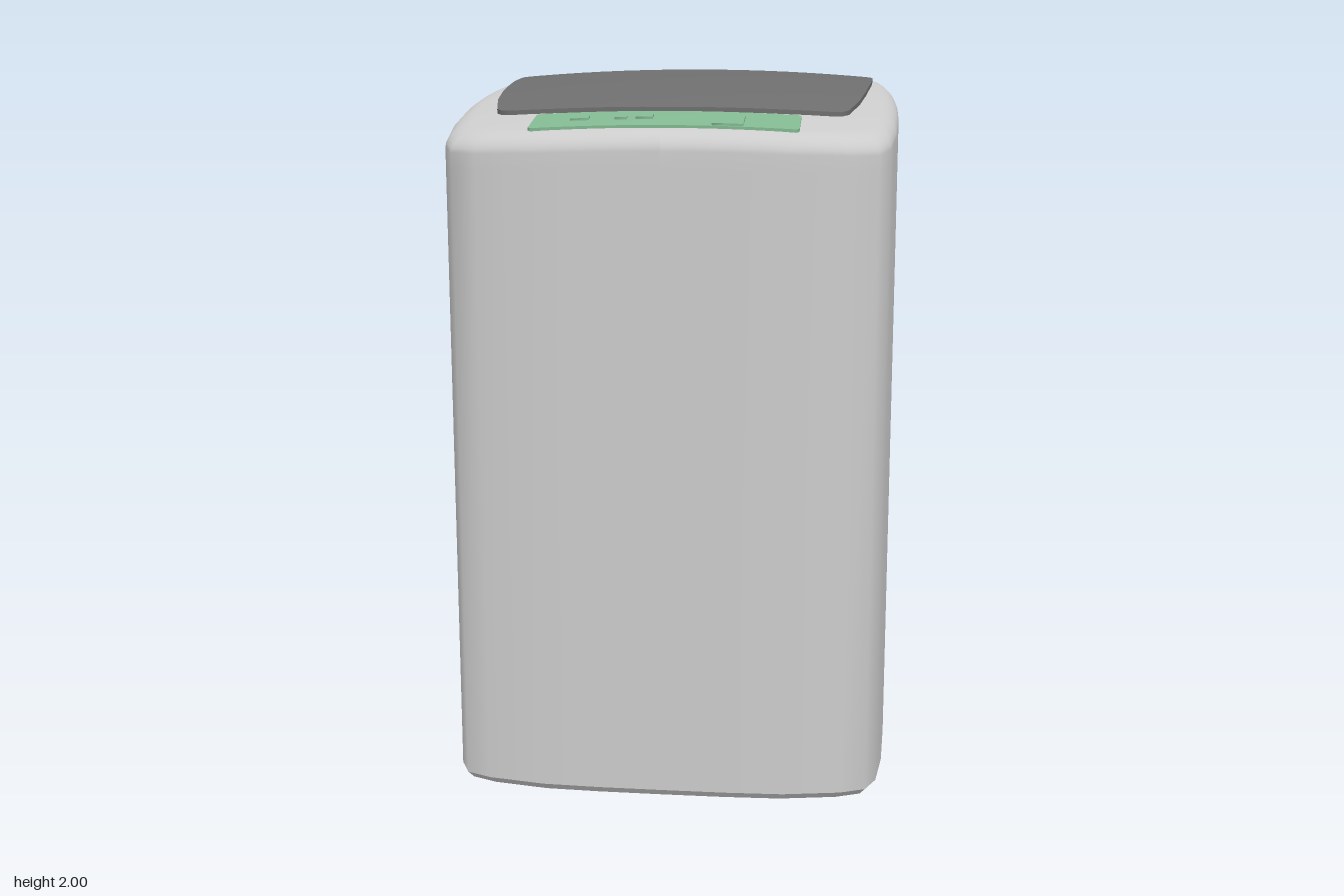
import * as THREE from 'three';

const mat = (color) => new THREE.MeshStandardMaterial({ color });

// Height of the crowned top, sloping down towards the front
const topY = (x, z) => 1.955 - 0.12 * z - 0.1 * z * z - 0.08 * x * x;

// Mirror a half outline (front centre -> +x side -> back) and split long edges
function outline(half, step) {
  const pts = [...half, ...half.map(([x, z]) => [-x, z]).reverse()].filter(
    ([x, z], i, all) => i === 0 || Math.hypot(x - all[i - 1][0], z - all[i - 1][1]) > 1e-6);
  const out = [];
  pts.forEach(([x, z], i) => {
    const [x2, z2] = pts[(i + 1) % pts.length];
    const n = Math.max(1, Math.ceil(Math.hypot(x2 - x, z2 - z) / step));
    for (let k = 0; k < n; k++) out.push([x + (x2 - x) * k / n, z + (z2 - z) * k / n]);
  });
  return out;
}

// Skin a list of closed rings; repeating a ring makes a sharp edge
function loft(name, rings, material) {
  const n = rings[0].length, pos = rings.flat(2), idx = [];
  for (let r = 0; r < rings.length - 1; r++) {
    for (let i = 0; i < n; i++) {
      const a = r * n + i, b = r * n + (i + 1) % n;
      idx.push(a, b, b + n, a, b + n, a + n);
    }
  }
  const g = new THREE.BufferGeometry();
  g.setAttribute('position', new THREE.Float32BufferAttribute(pos, 3));
  g.setIndex(idx);
  g.computeVertexNormals();
  const mesh = new THREE.Mesh(g, material);
  mesh.name = name;
  return mesh;
}

// Thin plate following the crowned top
function plate(name, pts, lift, depth, material, cx, cz, steps) {
  const ring = (s, d) => pts.map(([x, z]) => {
    const px = cx + (x - cx) * s, pz = cz + (z - cz) * s;
    return [px, topY(px, pz) + d, pz];
  });
  const rings = [ring(1, lift - depth), ring(1, lift)];
  for (let i = 0; i <= steps; i++) rings.push(ring(1 - i / steps, lift));
  return loft(name, rings, material);
}

const rect = (w, d, cx, cz) => outline([[w / 2, d / 2], [w / 2, -d / 2]], 0.05)
  .map(([x, z]) => [x + cx, z + cz]);

export function createModel() {
  const group = new THREE.Group();
  const grey = mat(0xcccccc), dark = mat(0x6e6e6e), green = mat(0x82b891);

  // Cabinet: bowed walls, rounded top edge and crowned top
  const plan = outline([[0, 0.595], [0.18, 0.594], [0.34, 0.588], [0.5, 0.56], [0.57, 0.53],
    [0.6, 0.465], [0.617, 0.32], [0.625, 0.1], [0.625, -0.03], [0.618, -0.24], [0.6, -0.5],
    [0.57, -0.572], [0.505, -0.598], [0, -0.598]], 0.12);
  const ring = (inset, yOf) => plan.map(([x, z]) => {
    const s = 1 - inset / 0.6;
    return [x * s, yOf(x * s, z * s), z * s];
  });
  const walls = [ring(0, () => 0.02), ring(0, (x, z) => topY(x, z) - 0.09)];
  const R = 0.06, DROP = 0.045;
  for (let i = 0; i <= 6; i++) {
    const t = i / 6 * Math.PI / 2;
    walls.push(ring(R * (1 - Math.cos(t)), (x, z) => topY(x, z) - DROP * (1 - Math.sin(t))));
  }
  for (let i = 1; i <= 12; i++) walls.push(ring(R + (0.6 - R) * i / 12, topY));
  group.add(loft('cabinet', walls, grey));

  // Base: chamfered foot and flat underside
  group.add(loft('base', [ring(0.6, () => 0), ring(0.015, () => 0), ring(0.015, () => 0),
    ring(0, () => 0.02)], grey));

  // Lid: tapers to the front with rounded corners
  const lid = outline([[0, 0.365], [0.3, 0.358], [0.44, 0.349], [0.47, 0.338], [0.487, 0.315],
    [0.515, 0.17], [0.533, 0], [0.548, -0.23], [0.552, -0.39], [0.545, -0.408], [0.53, -0.416],
    [0, -0.416]], 0.08);
  group.add(plate('lid', lid, 0.012, 0.03, dark, 0, -0.03, 12));

  // Control panel
  const panel = outline([[0.352, 0.537], [0.36, 0.529], [0.36, 0.398], [0.352, 0.39]], 0.05);
  group.add(plate('controlPanel', panel, 0.007, 0.02, green, 0, 0.463, 6));

  // Buttons: centre x, centre z, width, depth
  [[-0.23, 0.465, 0.05, 0.03], [-0.118, 0.469, 0.032, 0.02], [-0.056, 0.46, 0.046, 0.032],
    [0.171, 0.495, 0.084, 0.074]].forEach(([x, z, w, d], i) => {
    group.add(plate('button' + (i + 1), rect(w, d, x, z), 0.013, 0.012, green, x, z, 2));
  });
  return group;
}
